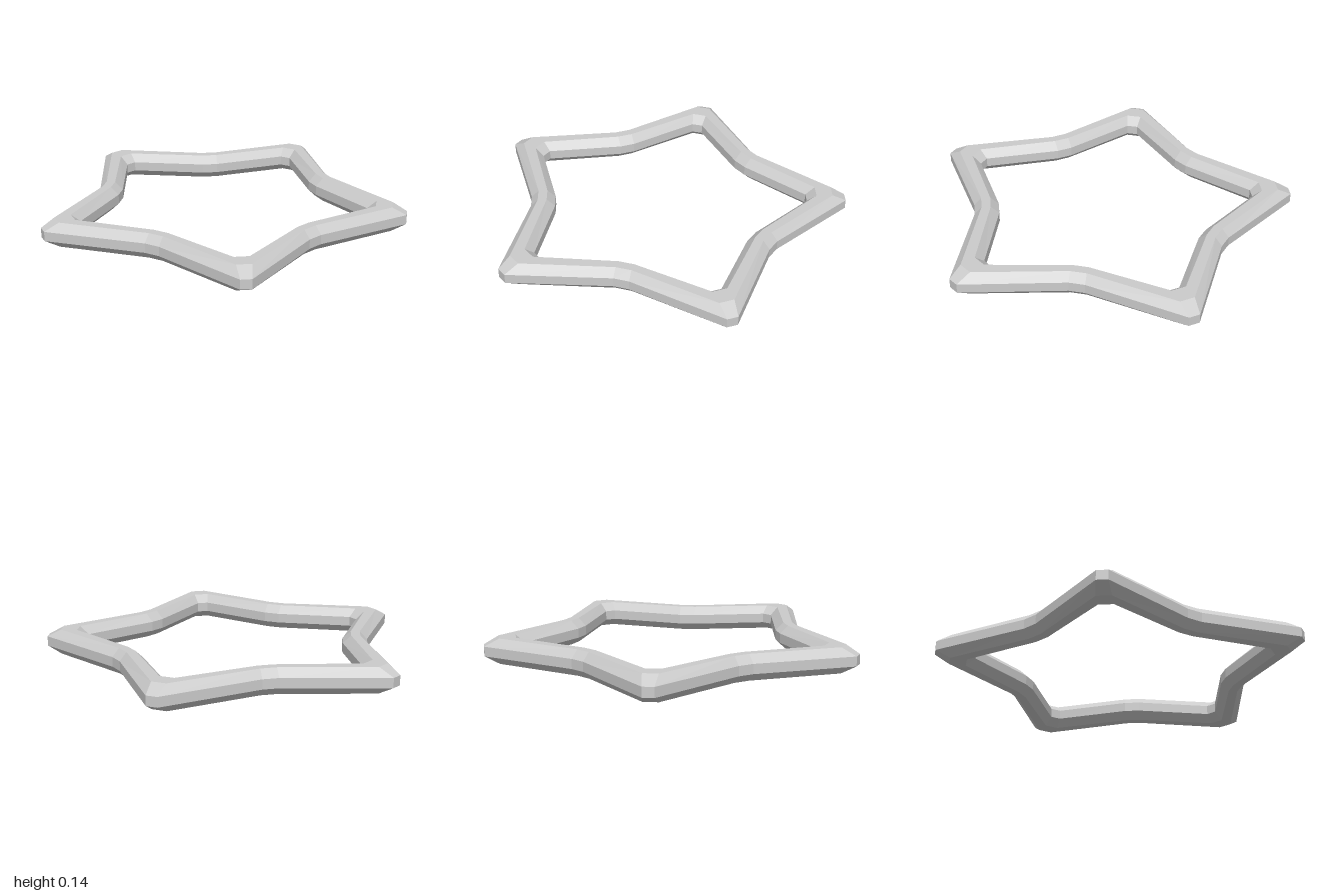
import * as THREE from 'three';

// Octagonal cross-sections, as [radius, half width of the blunted corner, height],
// going outside -> top -> inside -> bottom
const yLow = 0.043, yHigh = 0.096, yTop = 0.139;
const section = (outer, topOuter, topInner, inner) => [
  [...outer, yLow], [...outer, yHigh], [...topOuter, yTop], [...topInner, yTop],
  [...inner, yHigh], [...inner, yLow], [...topInner, 0], [...topOuter, 0],
];
const tip = section([1.04, 0.03], [0.96, 0.04], [0.87, 0.04], [0.82, 0.03]);
const valley = section([0.725, 0.043], [0.685, 0.043], [0.635, 0.043], [0.59, 0.043]);
const centreZ = -0.09;

// One loop of points on either side (-1 or 1) of a corner at the given angle
function cornerLoop(profile, angle, side) {
  const s = Math.sin(angle), c = Math.cos(angle);
  return profile.map(([r, w, y]) => [r * s + side * w * c, y, centreZ + r * c - side * w * s]);
}

function starRingGeometry() {
  const loops = [];
  for (let i = 0; i < 10; i++) {
    const profile = i % 2 ? valley : tip;
    for (const side of [-1, 1]) loops.push(cornerLoop(profile, i * Math.PI / 5, side));
  }
  // Skin neighbouring loops with flat quads, closing the ring
  const positions = [];
  loops.forEach((loop, i) => {
    const next = loops[(i + 1) % loops.length];
    for (let j = 0; j < 8; j++) {
      const k = (j + 1) % 8;
      positions.push(...loop[j], ...next[j], ...next[k], ...loop[j], ...next[k], ...loop[k]);
    }
  });
  const geometry = new THREE.BufferGeometry();
  geometry.setAttribute('position', new THREE.Float32BufferAttribute(positions, 3));
  geometry.computeVertexNormals();
  return geometry;
}

export function createModel() {
  const group = new THREE.Group();
  group.name = 'starFrame';
  const material = new THREE.MeshStandardMaterial({ color: 0xcccccc, flatShading: true });
  const ring = new THREE.Mesh(starRingGeometry(), material);
  ring.name = 'starRing';
  group.add(ring);
  return group;
}
